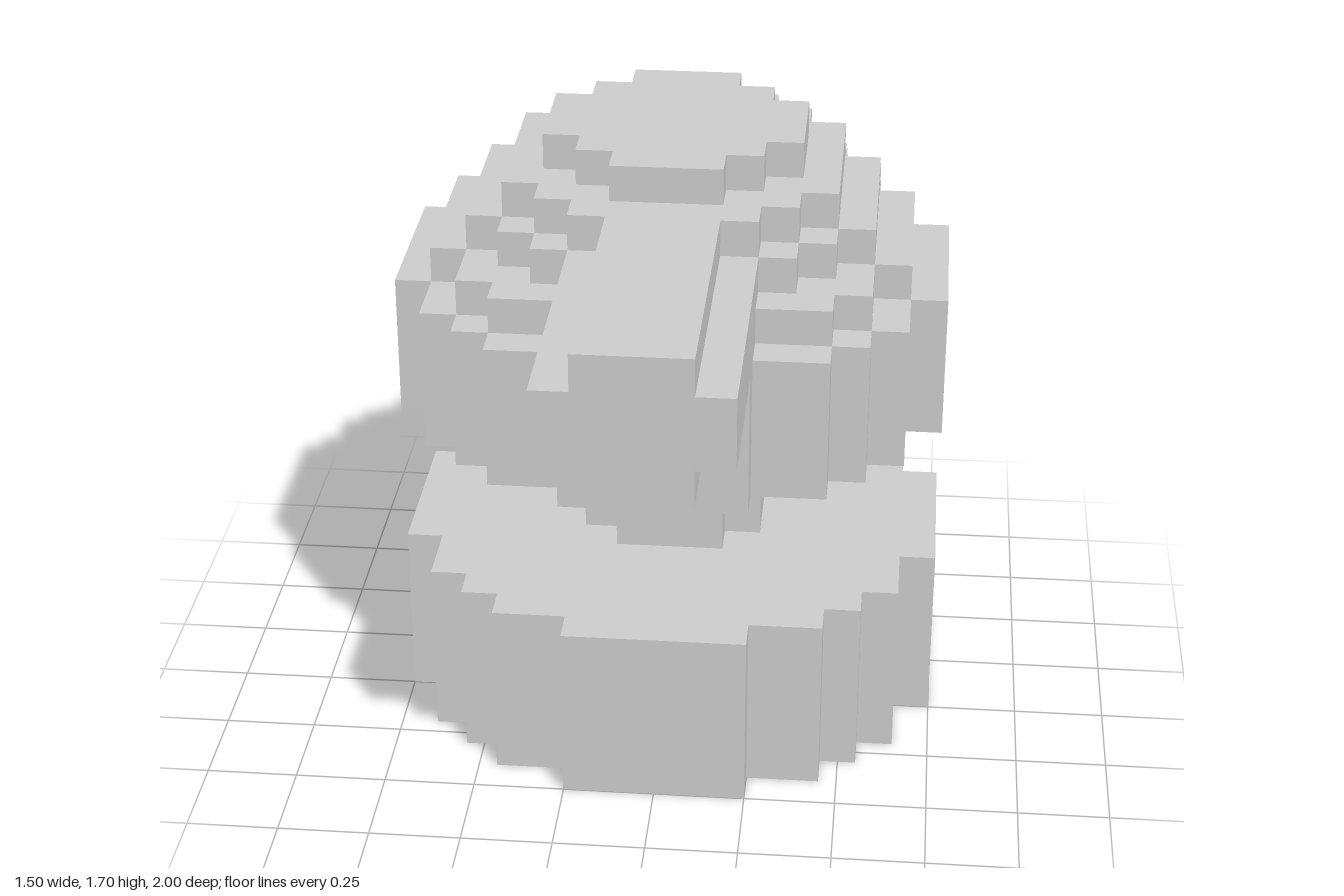
import * as THREE from 'three';

const UNIT = 0.1;      // size of one block
const AXIS_Z = -0.25;  // vertical axis of the round parts

const material = new THREE.MeshStandardMaterial({ color: 0xcccccc, flatShading: true });

// Stepped outline of a disc made of square blocks, an odd number of blocks wide
function blockDisc(blocks) {
  const r = blocks / 2;
  const n = (blocks - 1) / 2;
  const halfWidth = (row) => Math.floor(Math.sqrt(r * r - row * row)) + 0.5;
  const right = [];
  for (let row = -n; row <= n; row++) {
    const w = halfWidth(row);
    // keep a corner pair only where the width changes
    if (row === -n || w !== halfWidth(row - 1)) right.push([w, row - 0.5]);
    if (row === n || w !== halfWidth(row + 1)) right.push([w, row + 0.5]);
  }
  const left = right.map(([x, y]) => [-x, y]).reverse();
  return new THREE.Shape([...right, ...left].map(([x, y]) => new THREE.Vector2(x * UNIT, y * UNIT)));
}

function extrude(name, shape, depth) {
  const geometry = new THREE.ExtrudeGeometry(shape, { depth, bevelEnabled: false });
  const mesh = new THREE.Mesh(geometry, material);
  mesh.name = name;
  return mesh;
}

// Upright stepped disc between two heights
function slab(name, blocks, bottom, top) {
  const mesh = extrude(name, blockDisc(blocks), top - bottom);
  mesh.geometry.rotateX(-Math.PI / 2);
  mesh.position.set(0, bottom, AXIS_Z);
  return mesh;
}

export function createModel() {
  const model = new THREE.Group();
  model.name = 'turret';

  // Base and neck
  model.add(slab('base', 15, 0, 0.5));
  model.add(slab('neck', 5, 0.5, 0.9));

  // Domed head, each layer two blocks narrower
  const head = new THREE.Group();
  head.name = 'head';
  head.add(slab('headDrum', 15, 0.9, 1.3));
  [13, 11, 9, 7].forEach((blocks, i) => {
    head.add(slab('domeLayer' + (i + 1), blocks, 1.3 + i * UNIT, 1.4 + i * UNIT));
  });
  model.add(head);

  // Barrel with notched corners, reaching forward from the head
  const half = [[0.15, 1.2], [0.15, 1.3], [0.25, 1.3], [0.25, 1.5], [0.15, 1.5], [0.15, 1.6]];
  const section = [...half, ...half.map(([x, y]) => [-x, y]).reverse()];
  const barrel = extrude('barrel', new THREE.Shape(section.map(([x, y]) => new THREE.Vector2(x, y))), 0.8);
  barrel.position.z = 0.2;
  model.add(barrel);

  return model;
}
